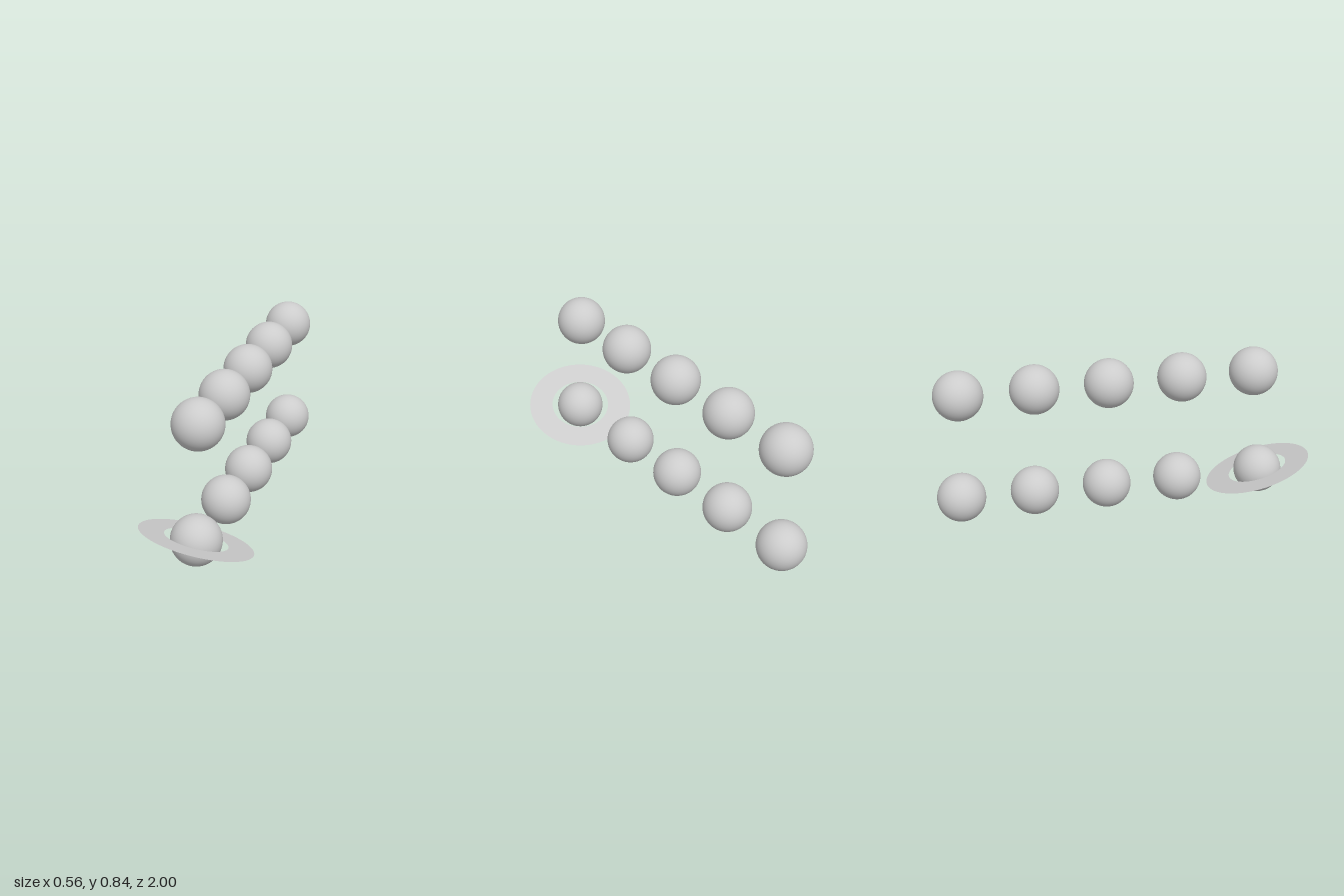
import * as THREE from 'three';

const RADIUS = 0.1272;

export function createModel() {
  const model = new THREE.Group();
  model.name = 'planetRows';
  const grey = new THREE.MeshStandardMaterial({ color: 0xcccccc });
  const thin = new THREE.MeshStandardMaterial({ color: 0xcccccc, side: THREE.DoubleSide });
  const ball = new THREE.SphereGeometry(RADIUS, 64, 40);

  // Two rows of equal spheres running front to back
  const rows = [
    { name: 'lowerPlanet', y: RADIUS, zs: [0.728, 0.28, -0.104, -0.488, -0.872] },
    { name: 'upperPlanet', y: 0.71, zs: [0.678, 0.295, -0.088, -0.471, -0.855] },
  ];
  for (const { name, y, zs } of rows) {
    zs.forEach((z, i) => {
      const planet = new THREE.Mesh(ball, grey);
      planet.name = name + (i + 1);
      planet.position.set(0, y, z);
      model.add(planet);
    });
  }

  // Flat tilted ring around the front lower planet
  const ring = new THREE.Mesh(new THREE.RingGeometry(RADIUS * 1.25, RADIUS * 2.25, 96), thin);
  ring.name = 'planetRing';
  ring.position.set(0, RADIUS + 0.001, 0.728);
  const normal = new THREE.Vector3(0.165, 0.944, -0.285).normalize();
  ring.quaternion.setFromUnitVectors(new THREE.Vector3(0, 0, 1), normal);
  model.add(ring);

  return model;
}
